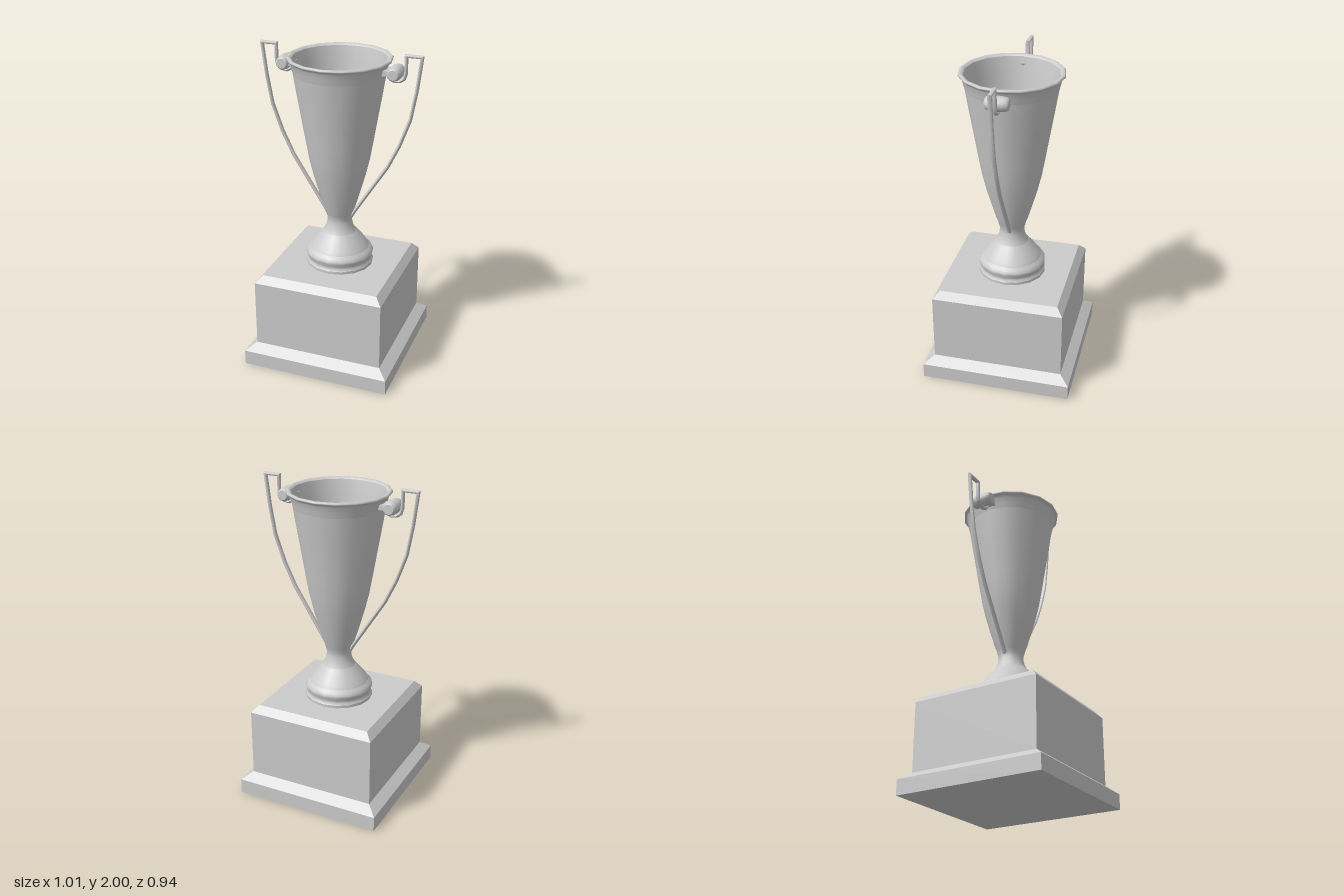
import * as THREE from 'three';
import { toCreasedNormals } from 'three/addons/utils/BufferGeometryUtils.js';

const grey = new THREE.MeshStandardMaterial({ color: 0xcccccc });
const greyDouble = new THREE.MeshStandardMaterial({ color: 0xcccccc, side: THREE.DoubleSide });
const vecs = (pts) => pts.map(([x, y]) => new THREE.Vector2(x, y));

function addMesh(parent, name, geometry, material = grey) {
  const mesh = new THREE.Mesh(geometry, material);
  mesh.name = name;
  parent.add(mesh);
  return mesh;
}

// Sweeps an oval section along a path in the xy plane, mitred at every corner
function sweep(points, rn, rz, sides = 8) {
  const path = vecs(points), pos = [], index = [];
  path.forEach((p, i) => {
    const a = path[Math.max(i - 1, 0)], b = path[Math.min(i + 1, path.length - 1)];
    const t1 = i > 0 ? p.clone().sub(a).normalize() : b.clone().sub(p).normalize();
    const t2 = i < path.length - 1 ? b.clone().sub(p).normalize() : t1;
    const t = t1.clone().add(t2).normalize();
    const miter = rn / t.dot(t1);
    for (let k = 0; k < sides; k++) {
      const ang = (k / sides) * Math.PI * 2, n = miter * Math.cos(ang);
      pos.push(p.x - t.y * n, p.y + t.x * n, rz * Math.sin(ang));
      if (i < path.length - 1) {
        const r = i * sides, k2 = (k + 1) % sides;
        index.push(r + k, r + k2, r + sides + k, r + k2, r + sides + k2, r + sides + k);
      }
    }
  });
  const g = new THREE.BufferGeometry();
  g.setAttribute('position', new THREE.Float32BufferAttribute(pos, 3));
  g.setIndex(index);
  return toCreasedNormals(g, 0.8);
}

export function createModel() {
  const trophy = new THREE.Group();
  trophy.name = 'trophy';

  // Square plinth: a four-sided lathe, half-widths turned into corner radii
  const plinthProfile = [[0, 0], [0.47, 0], [0.47, 0.095], [0.41, 0.14], [0.41, 0.57], [0.37, 0.615], [0, 0.615]]
    .map(([x, y]) => [x * Math.SQRT2, y]);
  const plinth = new THREE.LatheGeometry(vecs(plinthProfile), 4).rotateY(Math.PI / 4).toNonIndexed();
  plinth.computeVertexNormals();
  addMesh(trophy, 'plinth', plinth);

  // Cup, turned in sections so the joints between them stay sharp
  const sections = {
    footRing: [[0.212, 0.612], [0.212, 0.632]],
    footMoulding: [[0.212, 0.632], [0.202, 0.645], [0.203, 0.66], [0.212, 0.68], [0.212, 0.695],
      [0.2, 0.71], [0.185, 0.725]],
    footCone: [[0.185, 0.725], [0.175, 0.742], [0.14, 0.787], [0.103, 0.83]],
    stem: [[0.103, 0.83], [0.086, 0.86], [0.077, 0.9], [0.078, 0.925], [0.086, 0.95]],
    bowl: [[0.08, 0.94], [0.102, 1.0], [0.132, 1.1], [0.16, 1.2], [0.184, 1.3], [0.205, 1.42], [0.235, 1.6],
      [0.257, 1.73], [0.276, 1.85]],
    collar: [[0.276, 1.85], [0.284, 1.88], [0.292, 1.915], [0.301, 1.927]],
    rim: [[0.301, 1.927], [0.313, 1.935], [0.314, 1.943], [0.305, 1.95], [0.292, 1.947], [0.283, 1.938]],
    bowlInside: [[0.283, 1.938], [0.264, 1.85], [0.223, 1.6], [0.172, 1.3], [0.12, 1.1], [0.05, 0.99], [0, 0.98]],
  };
  for (const [name, profile] of Object.entries(sections)) {
    addMesh(trophy, name, new THREE.LatheGeometry(vecs(profile), 16), greyDouble);
  }

  // Handles: a bent rod ending in a curl around a small barrel scroll
  const rod = [[0.07, 0.92], [0.1, 0.972], [0.2, 1.13], [0.305, 1.295], [0.375, 1.44], [0.437, 1.61],
    [0.47, 1.79], [0.495, 1.988], [0.402, 1.988], [0.402, 1.885], [0.392, 1.853], [0.368, 1.836],
    [0.337, 1.832], [0.31, 1.845], [0.29, 1.872], [0.275, 1.9]];
  const barrel = [[0, -0.068], [0.03, -0.068], [0.038, -0.06], [0.043, -0.035], [0.044, 0],
    [0.043, 0.035], [0.038, 0.06], [0.03, 0.068], [0, 0.068]];
  for (const side of ['left', 'right']) {
    const handle = new THREE.Group();
    handle.name = side + 'Handle';
    if (side === 'right') handle.rotation.y = Math.PI;
    addMesh(handle, 'rod', sweep(rod, 0.011, 0.014));
    const scroll = toCreasedNormals(new THREE.LatheGeometry(vecs(barrel), 12).rotateX(Math.PI / 2), 0.7);
    addMesh(handle, 'scroll', scroll).position.set(0.343, 1.885, 0);
    // Short bracket joining the scroll to the bowl
    const bracket = new THREE.BoxGeometry(0.07, 0.03, 0.1);
    addMesh(handle, 'bracket', bracket).position.set(0.305, 1.885, 0);
    trophy.add(handle);
  }
  return trophy;
}
